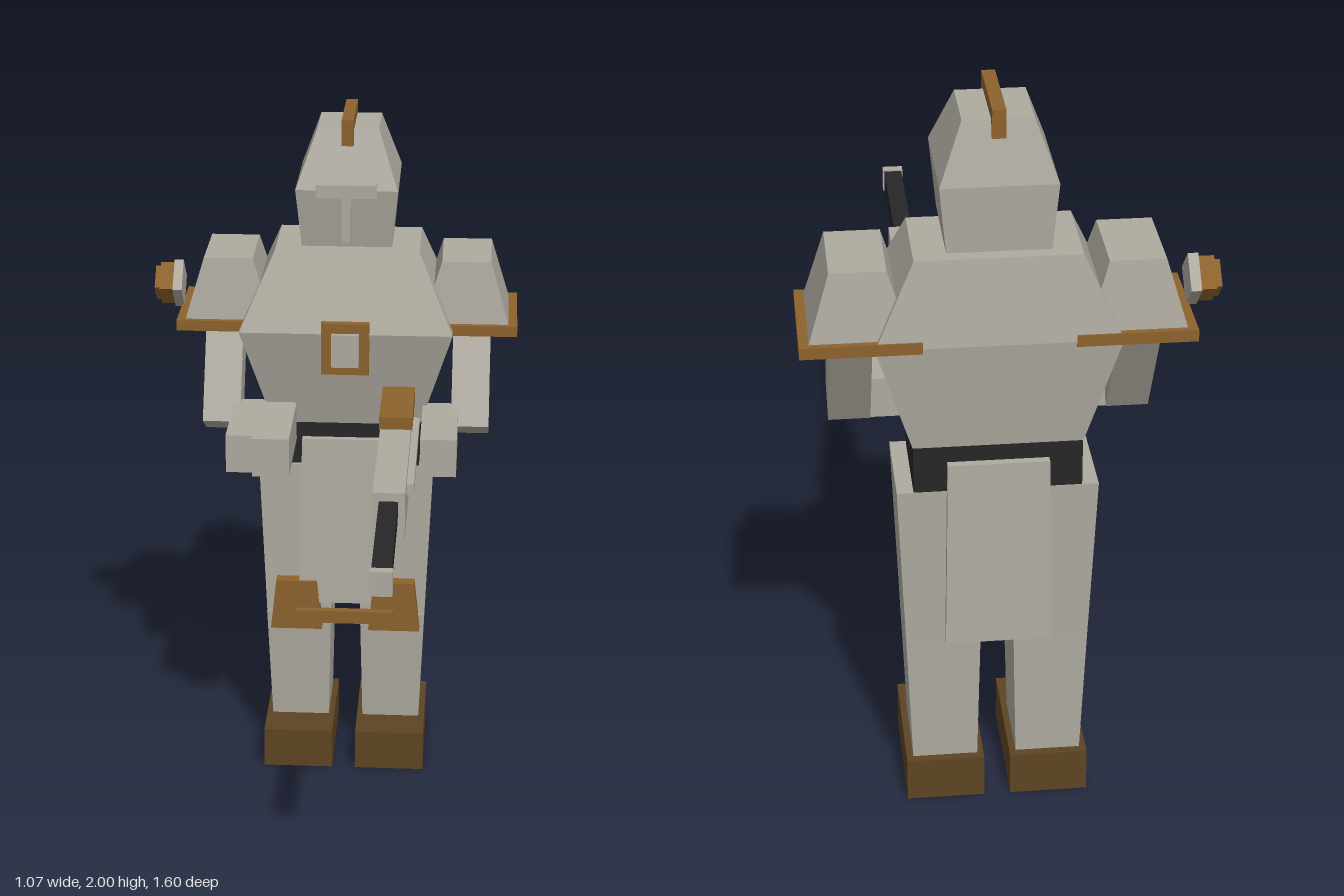
import * as THREE from 'three';

const mat = (name, color) => {
  const m = new THREE.MeshStandardMaterial({ color });
  m.name = name;
  return m;
};

export function createModel() {
  const plate = mat('plate grey', 0xaeaaa0);
  const bronze = mat('bronze', 0x8c622c);
  const leather = mat('dark leather', 0x5d4423);
  const black = mat('black', 0x262626);
  const CX = 0.037; // centre line of the body
  const model = new THREE.Group();
  model.name = 'armouredSoldier';

  const add = (name, geometry, material, parent = model) => {
    const mesh = new THREE.Mesh(geometry, material);
    mesh.name = name;
    parent.add(mesh);
    return mesh;
  };

  // Box given by its limits on each axis
  const box = (name, material, [x0, x1], [y0, y1], [z0, z1], parent) => {
    const mesh = add(name, new THREE.BoxGeometry(x1 - x0, y1 - y0, z1 - z0), material, parent);
    mesh.position.set((x0 + x1) / 2, (y0 + y1) / 2, (z0 + z1) / 2);
    return mesh;
  };

  // Tapered block between two rectangles [x0, x1, z0, z1] at heights y0 and y1
  const taper = (name, material, y0, bottom, y1, top, parent) => {
    const g = new THREE.BoxGeometry(1, 1, 1);
    const p = g.attributes.position;
    for (let i = 0; i < p.count; i++) {
      const up = p.getY(i) > 0;
      const r = up ? top : bottom;
      p.setXYZ(i, p.getX(i) > 0 ? r[1] : r[0], up ? y1 : y0, p.getZ(i) > 0 ? r[3] : r[2]);
    }
    g.computeVertexNormals();
    return add(name, g, material, parent);
  };
  // Rectangle centred on the body, by half width
  const mid = (half, z0, z1) => [CX - half, CX + half, z0, z1];

  // Helmet
  taper('helmetJaw', plate, 1.635, mid(0.13, -0.765, -0.484), 1.808, mid(0.146, -0.77, -0.452));
  taper('helmetDome', plate, 1.808, mid(0.146, -0.77, -0.452), 1.967, mid(0.088, -0.73, -0.537));
  box('helmetCrest', bronze, [0.02, 0.054], [1.926, 2], [-0.755, -0.497]);
  box('visorBrow', plate, [-0.05, 0.124], [1.79, 1.828], [-0.46, -0.435]);
  box('visorNose', plate, [0.024, 0.05], [1.66, 1.79], [-0.463, -0.44]);

  // Torso and waist
  taper('lowerTorso', plate, 1.09, mid(0.217, -0.755, -0.495), 1.39, mid(0.309, -0.792, -0.418));
  taper('upperTorso', plate, 1.39, mid(0.309, -0.792, -0.418), 1.615, mid(0.209, -0.762, -0.505));
  box('waist', black, [CX - 0.216, CX + 0.216], [0.96, 1.09], [-0.753, -0.496]);
  box('chestFrame', bronze, [-0.033, 0.106], [1.273, 1.427], [-0.427, -0.402]);
  box('chestPanel', plate, [-0.002, 0.077], [1.3, 1.398], [-0.405, -0.386]);

  // Hanging plates, leaning outward towards the bottom
  taper('frontSkirt', plate, 0.525, mid(0.14, -0.475, -0.452), 1.045, mid(0.13, -0.497, -0.474));
  taper('backSkirt', plate, 0.525, mid(0.14, -0.797, -0.776), 1.045, mid(0.13, -0.776, -0.754));
  box('kneeBar', bronze, [-0.111, 0.185], [0.468, 0.508], [-0.452, -0.428]);

  // Limbs and shoulder armour, one set for each side
  for (const [side, s] of [['left', 1], ['right', -1]]) {
    const limb = new THREE.Group();
    limb.name = side + 'Side';
    model.add(limb);
    // Rectangle on this side, by distances from the centre line
    const at = (a, b, z0, z1) => (s > 0 ? [CX + a, CX + b, z0, z1] : [CX - b, CX - a, z0, z1]);
    const span = (a, b) => at(a, b).slice(0, 2);

    box('foot', leather, span(0.035, 0.243), [0, 0.122], [-0.754, -0.39], limb);
    taper('shin', plate, 0.122, at(0.052, 0.225, -0.73, -0.51), 0.48, at(0.044, 0.239, -0.738, -0.482), limb);
    taper('thigh', plate, 0.48, at(0.044, 0.239, -0.738, -0.49), 0.96, at(0.023, 0.259, -0.754, -0.486), limb);
    taper('kneeGuard', bronze, 0.438, at(0.07, 0.225, -0.495, -0.449), 0.595, at(0.085, 0.208, -0.495, -0.449), limb);

    taper('pauldron', plate, 1.4, at(0.217, 0.472, -0.777, -0.482), 1.587, at(0.274, 0.416, -0.75, -0.508), limb);
    box('pauldronRim', bronze, span(0.191, 0.495), [1.377, 1.408], [-0.794, -0.466], limb);

    const arm = box('upperArm', plate, span(0.309, 0.419), [1.063, 1.376], [-0.61, -0.499], limb);
    arm.rotation.x = -Math.PI / 6;
    box('forearm', plate, span(0.225, 0.329), [1.045, 1.157], [-0.5, -0.194], limb);
  }
  box('rightHand', plate, [-0.207, -0.103], [1.075, 1.188], [-0.395, -0.09]);

  // Long gun held at the left hip
  const gun = new THREE.Group();
  gun.name = 'longGun';
  model.add(gun);
  box('gunBody', plate, [0.15, 0.237], [1.064, 1.202], [-0.47, 0.326], gun);
  box('gunBarrel', black, [0.167, 0.218], [1.12, 1.178], [0.32, 0.775], gun);
  box('gunMuzzle', plate, [0.163, 0.222], [1.115, 1.182], [0.773, 0.8], gun);
  box('gunTopCover', bronze, [0.147, 0.241], [1.2, 1.238], [-0.41, -0.152], gun);
  box('gunSideRail', plate, [0.23, 0.257], [1.145, 1.177], [-0.322, 0.198], gun);

  // Stepped diamond lamp beside the right shoulder
  const lamp = new THREE.Group();
  lamp.name = 'shoulderLamp';
  model.add(lamp);
  for (const [name, material, x0, x1, r] of [
    ['lampBase', plate, -0.479, -0.452, 0.072],
    ['lampRing', bronze, -0.519, -0.479, 0.063],
    ['lampCap', bronze, -0.534, -0.519, 0.052],
  ]) {
    const g = new THREE.CylinderGeometry(r, r, x1 - x0, 4).toNonIndexed();
    g.computeVertexNormals();
    const mesh = add(name, g, material, lamp);
    mesh.rotation.z = Math.PI / 2;
    mesh.position.set((x0 + x1) / 2, 1.47, -0.631);
  }
  return model;
}
